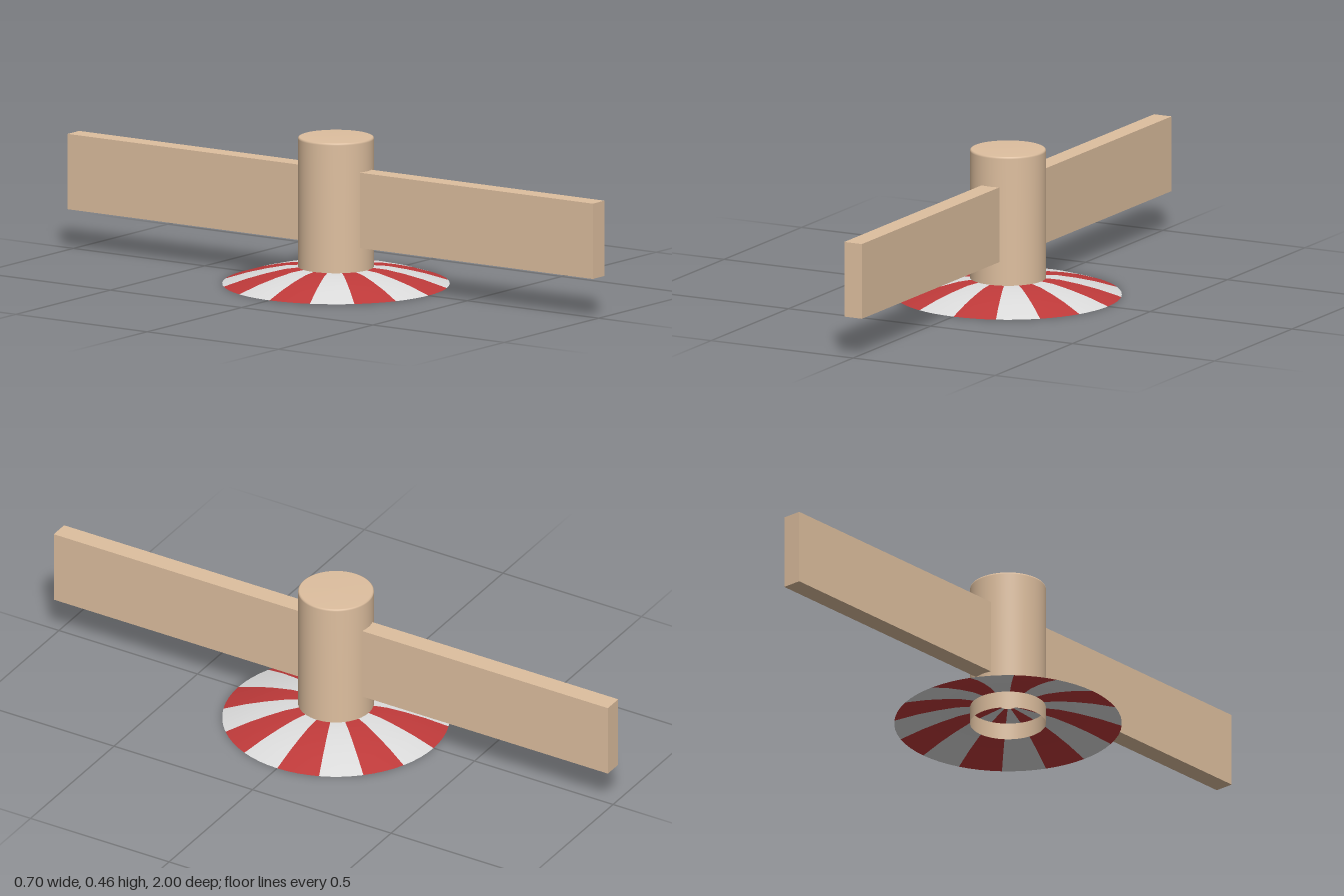
import * as THREE from 'three';

const mat = (name, color, side = THREE.DoubleSide) => {
  const m = new THREE.MeshStandardMaterial({ color, side });
  m.name = name;
  return m;
};

const profile = (pairs) => pairs.map(([r, y]) => new THREE.Vector2(r, y));

export function createModel() {
  const tan = mat('tan', 0xdebf9f);
  const red = mat('red', 0xbf3a3a);
  const white = mat('white', 0xdcdcdc);

  const model = new THREE.Group();
  model.name = 'stripedPropeller';

  const add = (parent, name, geometry, material) => {
    const mesh = new THREE.Mesh(geometry, material);
    mesh.name = name;
    parent.add(mesh);
    return mesh;
  };

  // Hub: a tube open at the bottom, with a softly rounded top edge
  add(model, 'hub', new THREE.LatheGeometry(profile([
    [0.1175, 0], [0.1175, 0.23], [0.1175, 0.455],
    [0.1165, 0.46], [0.113, 0.462], [0, 0.463],
  ]), 64), tan);

  // Long flat blade passing through the hub
  add(model, 'blade', new THREE.BoxGeometry(0.062, 0.237, 2), tan)
    .position.y = 0.2465;

  // Shallow thin skirt of sixteen alternating stripes, with a small centre hole
  const skirt = new THREE.Group();
  skirt.name = 'skirt';
  model.add(skirt);
  const skirtProfile = profile([
    [0.352, 0], [0.28, 0.023], [0.22, 0.038], [0.16, 0.05],
    [0.118, 0.0535], [0.07, 0.057], [0.025, 0.06],
  ]);
  const stripes = 16;
  const step = (Math.PI * 2) / stripes;
  for (let i = 0; i < stripes; i++) {
    add(skirt, `stripe${i + 1}`,
      new THREE.LatheGeometry(skirtProfile, 4, i * step, step),
      i % 2 === 0 ? red : white);
  }

  return model;
}
